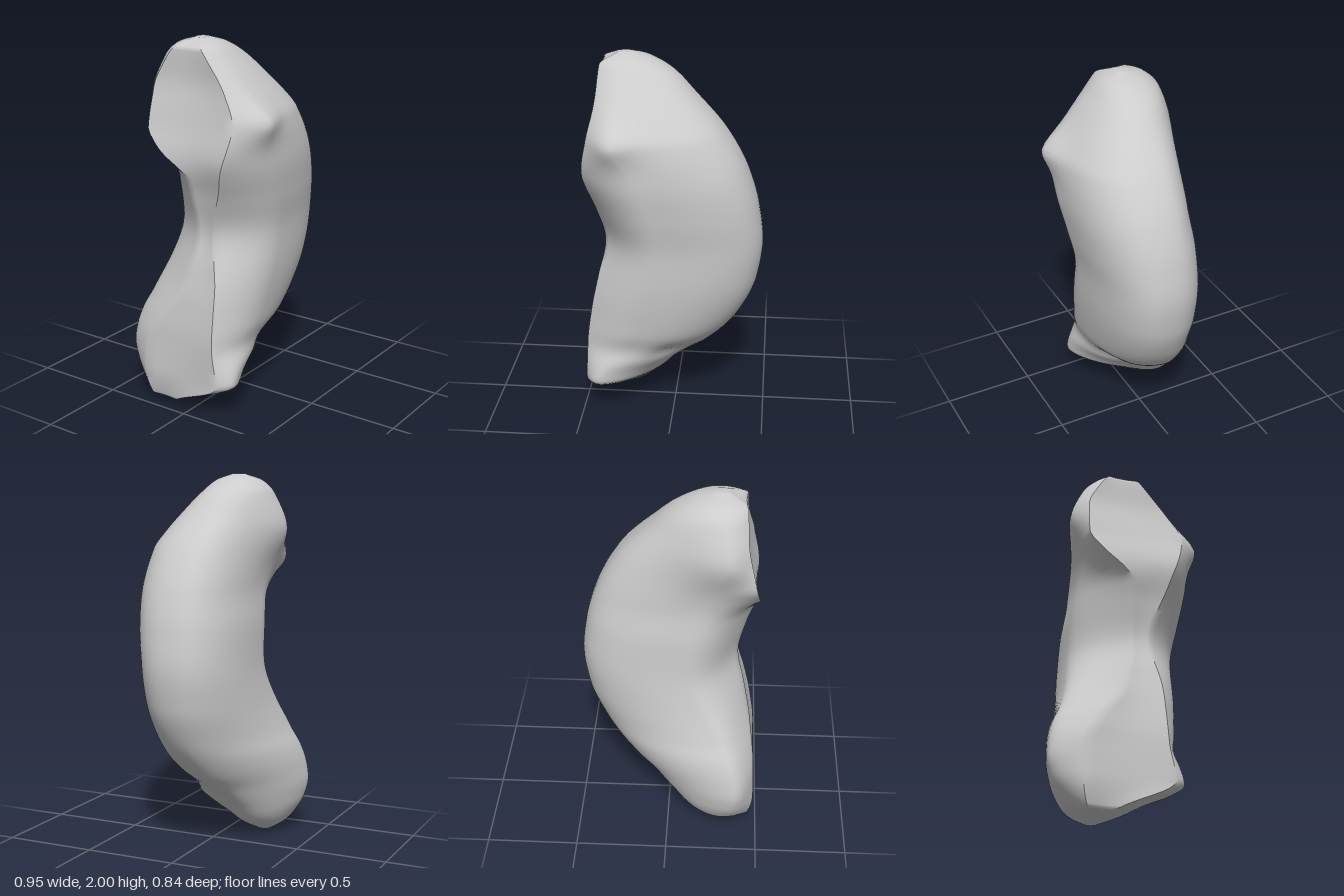
import * as THREE from 'three';
import { toCreasedNormals } from 'three/addons/utils/BufferGeometryUtils.js';

// Smooth monotone curve through [height, value] pairs
function profile(keys) {
  const d = keys.slice(1).map((k, i) => (k[1] - keys[i][1]) / (k[0] - keys[i][0]));
  const slope = (i) => {
    if (i === 0) return d[0];
    if (i === d.length) return d[i - 1];
    return d[i - 1] * d[i] <= 0 ? 0 : (2 * d[i - 1] * d[i]) / (d[i - 1] + d[i]);
  };
  return (y) => {
    let i = 0;
    while (i < d.length - 1 && y > keys[i + 1][0]) i++;
    const [y0, a] = keys[i], [y1, b] = keys[i + 1];
    const h = y1 - y0, t = (y - y0) / h, t2 = t * t, t3 = t2 * t;
    return a * (2 * t3 - 3 * t2 + 1) + b * (3 * t2 - 2 * t3)
      + h * (slope(i) * (t3 - 2 * t2 + t) + slope(i + 1) * (t3 - t2));
  };
}

// Extents of the bean at each height
const innerX = profile([[0, -0.34], [0.04, -0.45], [0.2, -0.48], [0.4, -0.475], [0.6, -0.45], [0.8, -0.41],
  [1, -0.37], [1.2, -0.41], [1.42, -0.47], [1.6, -0.44], [1.8, -0.4], [1.95, -0.39], [2, -0.3]]);
const outerX = profile([[0, -0.26], [0.05, -0.16], [0.1, -0.09], [0.2, 0], [0.3, 0.1], [0.4, 0.22], [0.6, 0.37],
  [0.8, 0.45], [1, 0.475], [1.2, 0.45], [1.4, 0.39], [1.6, 0.28], [1.8, 0.1], [1.9, 0], [1.97, -0.12], [2, -0.22]]);
const frontZ = profile([[0, -0.14], [0.05, -0.02], [0.1, 0.08], [0.15, 0.2], [0.2, 0.27], [0.3, 0.265], [0.38, 0.25],
  [0.5, 0.28], [0.8, 0.32], [1, 0.33], [1.2, 0.36], [1.4, 0.38], [1.5, 0.38], [1.6, 0.37], [1.7, 0.31], [1.8, 0.235],
  [1.9, 0.15], [1.97, 0.08], [2, 0]]);
const backZ = profile([[0, -0.22], [0.05, -0.3], [0.1, -0.345], [0.2, -0.4], [0.3, -0.42], [0.4, -0.41], [0.5, -0.385],
  [0.6, -0.34], [0.8, -0.28], [1, -0.25], [1.2, -0.24], [1.4, -0.22], [1.7, -0.23], [1.8, -0.225],
  [1.9, -0.21], [1.97, -0.15], [2, -0.06]]);
// Position of the outer ridge, and x of the foremost and rearmost points
const ridgeZ = profile([[0, -0.18], [0.2, -0.16], [0.4, -0.06], [0.7, 0.02], [1, 0.04], [1.5, 0.03], [2, -0.03]]);
const frontX = profile([[0, -0.3], [0.2, -0.4], [0.4, -0.25], [0.6, -0.15], [1, -0.06], [1.4, -0.17], [1.6, -0.28], [2, -0.25]]);
const backX = profile([[0, -0.29], [0.3, -0.36], [0.6, -0.28], [1, -0.08], [1.4, -0.15], [1.7, -0.29], [2, -0.25]]);
// Flat cut on the inner side: its back and front edges
const cutBackZ = profile([[0, -0.21], [0.05, -0.25], [0.15, -0.27], [0.35, -0.26], [0.5, -0.18], [0.7, -0.04], [1, 0.02],
  [1.3, 0], [1.45, -0.17], [1.55, -0.24], [1.75, -0.23], [1.88, -0.17], [1.96, -0.11], [2, -0.055]]);
const cutFrontZ = profile([[0, -0.16], [0.05, -0.07], [0.2, 0.2], [0.4, 0.17], [0.7, 0.16], [1, 0.11], [1.3, 0.2],
  [1.6, 0.28], [1.75, 0.21], [1.9, 0.1], [1.96, 0.05], [2, -0.005]]);
// Squareness of the front and back quarters
const frontPower = profile([[0, 2], [0.12, 1.5], [0.25, 1.6], [0.5, 2.2], [1, 2.4], [1.7, 2.5], [2, 2]]);
const backPower = profile([[0, 2], [0.25, 1.55], [0.5, 1.75], [0.8, 2.2], [1, 2.4], [1.6, 2.2], [2, 2]]);

const bump = (x, y, cx, cy, rx, ry) => Math.exp(-(((x - cx) / rx) ** 2) - ((y - cy) / ry) ** 2);

// Horizontal outline, anticlockwise seen from above
function outline(y) {
  const xi = innerX(y), xo = outerX(y), zf = frontZ(y), zb = backZ(y), zr = ridgeZ(y);
  const xf = frontX(y), xb = backX(y), c0 = cutBackZ(y), c1 = cutFrontZ(y);
  const ef = 2 / frontPower(y), eb = 2 / backPower(y);
  const pts = [];

  // Front: corner bulge of the upper lobe, crease above the lower lobe; both fade out at the edges
  const front = (x, z, fade) => pts.push([x, z + fade
    * (0.05 * bump(x, y, -0.3, 1.62, 0.13, 0.09) - 0.05 * bump(x, y, 0, 0.36, 0.1, 0.05))]);
  // Back: swelling of the upper lobe
  const back = (x, z, fade) => pts.push([x, z - fade * 0.07 * bump(x, y, -0.32, 1.71, 0.24, 0.17)]);

  for (let i = 0; i < 14; i++) { // cut edge to the front
    const s = 1 - i / 14;
    front(xf + (xi - xf) * s, zf + (c1 - zf) * s ** 2.2, 1 - s * s);
  }
  for (let i = 0; i < 22; i++) { // front to the outer ridge
    const a = (i / 22) * Math.PI / 2, c = Math.cos(a) ** ef;
    front(xf + (xo - xf) * Math.sin(a) ** ef, zr + (zf - zr) * c, c);
  }
  for (let i = 0; i < 22; i++) { // outer ridge to the back
    const a = (i / 22) * Math.PI / 2, s = Math.sin(a) ** eb;
    back(xb + (xo - xb) * Math.cos(a) ** eb, zr + (zb - zr) * s, s);
  }
  for (let i = 0; i < 14; i++) { // back to the cut
    const s = i / 14;
    back(xb + (xi - xb) * s, zb + (c0 - zb) * s ** 2.2, 1 - s * s);
  }
  for (let i = 0; i < 8; i++) { // slightly hollow cut face
    const s = i / 8;
    pts.push([xi + 0.04 * (c1 - c0) * Math.sin(Math.PI * s), c0 + (c1 - c0) * s]);
  }
  return pts;
}

function bodyGeometry() {
  const rows = 100, pos = [], idx = [];
  let n = 0;
  for (let j = 0; j <= rows; j++) {
    const y = 1 - Math.cos((Math.PI * j) / rows);
    const ring = outline(y);
    n = ring.length;
    ring.forEach(([x, z]) => pos.push(x, y, z));
  }
  for (let j = 0; j < rows; j++) {
    for (let i = 0; i < n; i++) {
      const a = j * n + i, b = j * n + (i + 1) % n;
      idx.push(a, b, b + n, a, b + n, a + n);
    }
  }
  // Close both tips
  for (const [start, y] of [[0, 0], [rows * n, 2]]) {
    const centre = pos.length / 3;
    pos.push(y ? -0.26 : -0.3, y, y ? -0.03 : -0.18);
    for (let i = 0; i < n; i++) {
      const a = start + i, b = start + (i + 1) % n;
      if (y) idx.push(a, b, centre); else idx.push(b, a, centre);
    }
  }
  const geo = new THREE.BufferGeometry();
  geo.setAttribute('position', new THREE.Float32BufferAttribute(pos, 3));
  geo.setIndex(idx);
  return toCreasedNormals(geo, 0.75);
}

export function createModel() {
  const group = new THREE.Group();
  group.name = 'curvedBean';
  const body = new THREE.Mesh(bodyGeometry(), new THREE.MeshStandardMaterial({ color: 0xcccccc }));
  body.name = 'beanBody';
  group.add(body);
  return group;
}
